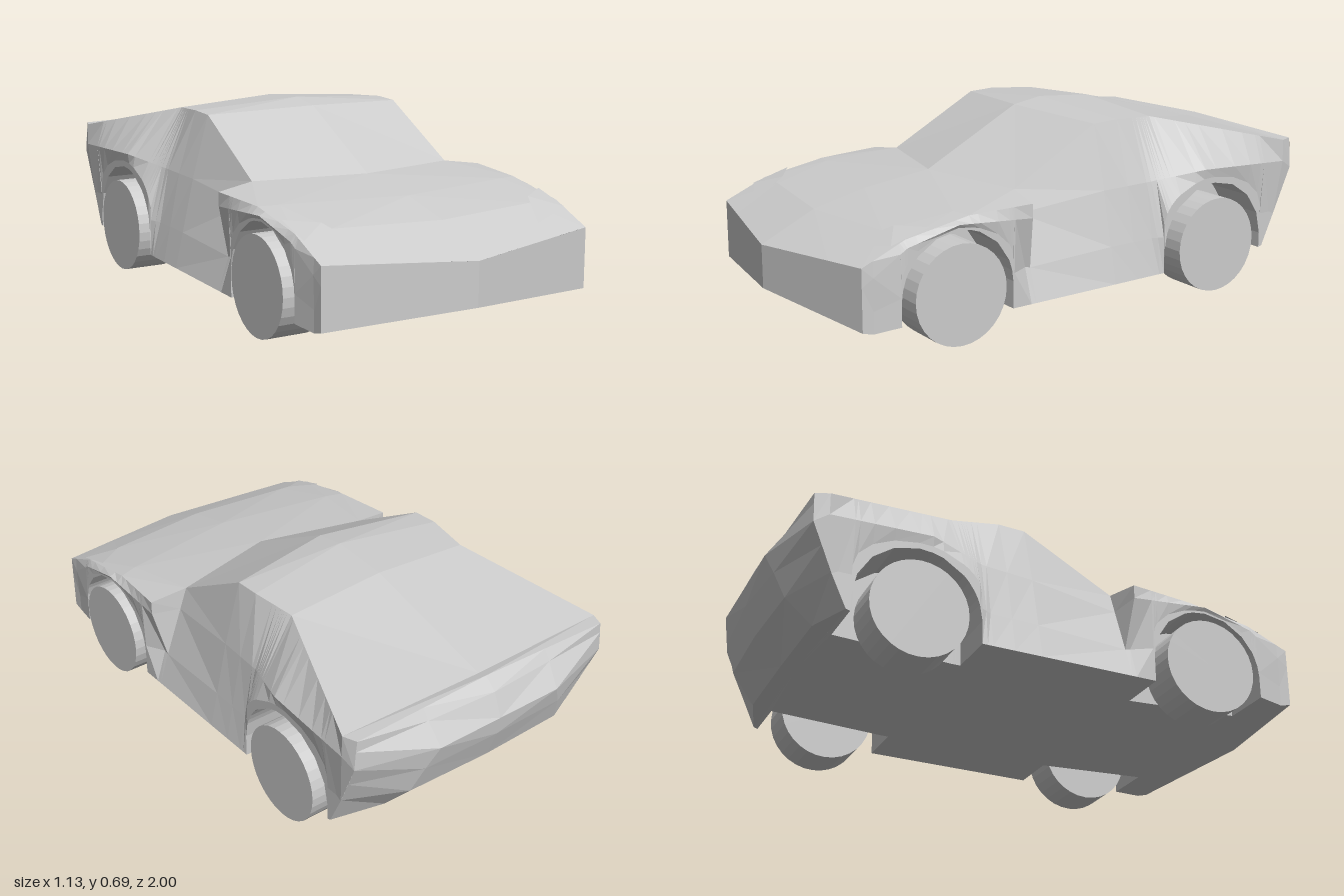
import * as THREE from 'three';

const material = new THREE.MeshStandardMaterial({ color: 0xcccccc, flatShading: true, side: THREE.DoubleSide });
const AXLES = [{ z: 0.55, arch: 0.215 }, { z: -0.55, arch: 0.23 }];

// Interpolates a path of [z, ...values], ordered from front to back
function along(path, z) {
  let i = 0;
  while (i < path.length - 2 && z < path[i + 1][0]) i++;
  const a = path[i], b = path[i + 1];
  const t = THREE.MathUtils.clamp((a[0] - z) / (a[0] - b[0]), 0, 1);
  return a.slice(1).map((v, k) => v + (b[k + 1] - v) * t);
}

// Mirrored faceted skin; rows run front to back or top down, columns go outward
function skin(name, rows) {
  const pos = [];
  for (const side of [1, -1]) {
    const put = (...corners) => {
      const order = side > 0 ? corners : corners.reverse();
      for (const [x, y, z] of order) pos.push(side * x, y, z);
    };
    for (let r = 0; r + 1 < rows.length; r++) {
      for (let c = 0; c + 1 < rows[r].length; c++) {
        const a = rows[r][c], b = rows[r][c + 1], d = rows[r + 1][c], e = rows[r + 1][c + 1];
        put(a, b, d);
        put(b, e, d);
      }
    }
  }
  const geometry = new THREE.BufferGeometry();
  geometry.setAttribute('position', new THREE.Float32BufferAttribute(pos, 3));
  geometry.computeVertexNormals();
  const mesh = new THREE.Mesh(geometry, material);
  mesh.name = name;
  return mesh;
}

// Side wall with recessed door, wheel wells and floor, one ring per station
function sideRows() {
  const top = [[0.9, 0.53, 0.315], [0.74, 0.53, 0.385], [0.5, 0.53, 0.43], [0.26, 0.55, 0.44], [0.24, 0.41, 0.46],
    [-0.1, 0.405, 0.65], [-0.2, 0.405, 0.655], [-0.37, 0.38, 0.645], [-0.87, 0.56, 0.53], [-0.92, 0.54, 0.53]];
  const belt = [[0.9, 0.53, 0.25], [0.74, 0.545, 0.36], [0.55, 0.553, 0.41], [0.26, 0.55, 0.39], [0.24, 0.44, 0.38],
    [-0.1, 0.47, 0.42], [-0.3, 0.485, 0.43], [-0.5, 0.55, 0.46], [-0.87, 0.562, 0.45], [-0.92, 0.55, 0.42]];
  const waist = [[0.33, 0.545], [0.26, 0.505], [-0.28, 0.52], [-0.33, 0.545]];
  const base = [[0.9, 0.1], [0.86, 0.09], [0.76, 0.1], [0.34, 0.085], [-0.35, 0.1], [-0.78, 0.125], [-0.92, 0.13]];
  const tail = [[-0.13, -0.795], [-0.25, -0.85], [-0.42, -0.92], [-0.53, -0.92]];

  const stations = new Set([...top, ...belt, ...waist, ...base].map((p) => p[0]));
  for (const { z, arch } of AXLES) {
    for (let i = 0; i <= 8; i++) stations.add(z + (arch - 0.0001) * Math.cos((i / 8) * Math.PI));
    stations.add(z + arch + 0.0001).add(z - arch - 0.0001);
  }

  return [...stations].sort((a, b) => b - a).map((z) => {
    const [xt, yt] = along(top, z);
    const [xm, ym] = along(belt, z);
    const [xw] = along(waist, z);
    const [floor] = along(base, z);
    let rim = floor;
    for (const axle of AXLES) {
      const d = Math.abs(z - axle.z);
      if (d < axle.arch) rim = 0.175 + Math.sqrt(axle.arch ** 2 - d ** 2);
    }
    const yw = rim + (ym - rim) * 0.4;
    const xb = z > 0.8 ? 0.53 : 0.545;
    const keel = Math.max(0.13, floor + 0.015);
    const ring = [[0, keel], [0.355, floor], [0.355, rim], [xb, rim], [Math.min(xb, xw), yw], [xm, ym], [xt, yt]];
    // Undercut of the tail
    return ring.map(([x, y]) => {
      const end = along(tail, -y)[0];
      return [x, y, z < -0.78 ? -0.78 + ((z + 0.78) / -0.14) * (end + 0.78) : z];
    });
  });
}

export function createModel() {
  const car = new THREE.Group();
  car.name = 'car';

  car.add(skin('bodySidesAndFloor', sideRows()));

  car.add(skin('hood', [
    [[0, 0.285, 1], [0.36, 0.306, 0.932], [0.53, 0.315, 0.9]],
    [[0, 0.382, 0.8], [0.4, 0.388, 0.75], [0.53, 0.385, 0.74]],
    [[0, 0.43, 0.6], [0.46, 0.432, 0.52], [0.53, 0.43, 0.5]],
    [[0, 0.465, 0.34], [0.41, 0.46, 0.24], [0.55, 0.44, 0.26]],
  ]));

  car.add(skin('windshield', [
    [[0, 0.465, 0.34], [0.41, 0.46, 0.24]],
    [[0, 0.665, -0.035], [0.405, 0.65, -0.1]],
  ]));

  car.add(skin('roof', [
    [[0, 0.665, -0.035], [0.405, 0.65, -0.1]],
    [[0, 0.685, -0.15], [0.405, 0.655, -0.2]],
    [[0, 0.67, -0.37], [0.38, 0.645, -0.37]],
  ]));

  car.add(skin('rearDeck', [
    [[0, 0.67, -0.37], [0.38, 0.645, -0.37]],
    [[0, 0.535, -0.885], [0.56, 0.53, -0.87]],
    [[0, 0.545, -0.92], [0.54, 0.53, -0.92]],
  ]));

  car.add(skin('frontBumper', [
    [[0, 0.13, 0.9], [0.53, 0.1, 0.9]],
    [[0, 0.13, 1], [0.53, 0.1, 0.9]],
    [[0, 0.285, 1], [0.53, 0.315, 0.9]],
  ]));

  car.add(skin('rearBumper', [
    [[0, 0.545, -0.92], [0.27, 0.5375, -0.92], [0.54, 0.53, -0.92]],
    [[0, 0.505, -0.965], [0.27, 0.5, -0.945], [0.545, 0.49, -0.92]],
    [[0, 0.42, -1], [0.26, 0.42, -1], [0.55, 0.42, -0.92]],
    [[0, 0.35, -0.99], [0.3, 0.34, -0.975], [0.547, 0.34, -0.887]],
    [[0, 0.24, -0.95], [0.33, 0.24, -0.94], [0.545, 0.25, -0.85]],
    [[0, 0.145, -0.85], [0.36, 0.14, -0.85], [0.545, 0.13, -0.795]],
    [[0, 0.145, -0.795], [0.36, 0.13, -0.795], [0.545, 0.13, -0.795]],
  ]));

  // Headlight panels lying on the hood corners
  car.add(skin('headlights', [
    [[0.35, 0.345, 0.865], [0.525, 0.37, 0.79]],
    [[0.42, 0.405, 0.72], [0.525, 0.412, 0.65]],
  ]));

  // Wheels
  const wheelGeometry = new THREE.CylinderGeometry(0.175, 0.175, 0.153, 32);
  wheelGeometry.rotateZ(Math.PI / 2);
  for (const axle of AXLES) {
    for (const side of [1, -1]) {
      const wheel = new THREE.Mesh(wheelGeometry, material);
      wheel.name = axle.z > 0 ? 'frontWheel' : 'rearWheel';
      wheel.position.set(side * 0.488, 0.175, axle.z);
      car.add(wheel);
    }
  }
  return car;
}
